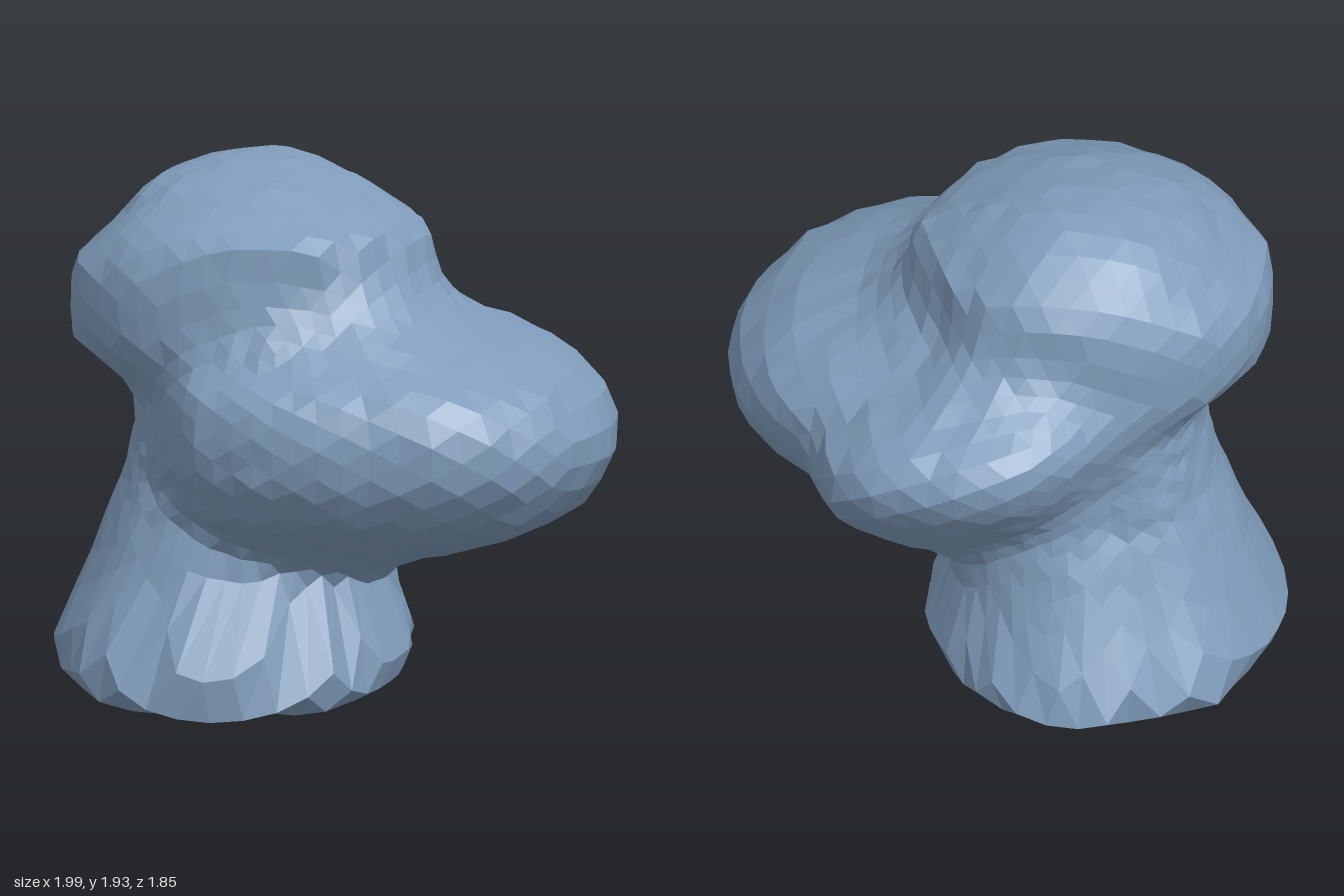
import * as THREE from 'three';
import { mergeVertices } from 'three/addons/utils/BufferGeometryUtils.js';

// Each part is a stack of level sections [y, xMin, xMax, zMin, zMax] and a plan,
// given as radii at even angles starting at +x and turning towards +z

// Flared foot and narrow neck
const foot = {
  radii: [1, 1.03, 1.05, 1.02, 1, 1.06, 1.1, 1.04, 1, 0.98, 1.02, 0.92, 1, 1.01, 1, 1],
  rings: [
    [0, -0.89, 0.17, -0.8, 0.57],
    [0.06, -0.97, 0.24, -0.85, 0.59],
    [0.16, -1.0, 0.27, -0.83, 0.58],
    [0.28, -0.96, 0.24, -0.77, 0.5],
    [0.42, -0.9, 0.18, -0.71, 0.42],
    [0.57, -0.84, 0.18, -0.64, 0.39],
    [0.77, -0.76, 0.2, -0.57, 0.36],
    [0.97, -0.71, 0.22, -0.55, 0.34],
    [1.15, -0.71, 0.24, -0.53, 0.4],
  ],
};

// Overhanging dome
const dome = {
  radii: [0.99, 0.95, 0.96, 1.02, 1, 1.03, 1.05, 1.03, 1, 1, 1.02, 1, 0.99, 1, 0.94, 0.93],
  rings: [
    [1.05, -0.68, 0.2, -0.5, 0.38],
    [1.13, -0.74, 0.27, -0.53, 0.46],
    [1.19, -0.8, 0.3, -0.55, 0.53],
    [1.29, -0.92, 0.34, -0.56, 0.57],
    [1.46, -0.94, 0.36, -0.57, 0.58],
    [1.57, -0.92, 0.36, -0.57, 0.58],
    [1.69, -0.79, 0.34, -0.56, 0.57],
    [1.78, -0.7, 0.19, -0.48, 0.41],
    [1.85, -0.61, 0.06, -0.4, 0.26],
    [1.9, -0.46, -0.06, -0.31, 0.06],
    [1.925, -0.3, -0.15, -0.24, -0.11],
  ],
};

// Wide rounded lobe pushing out to the left, front and back
const lobe = {
  radii: [0.98, 1.04, 1.08, 1.06, 1, 1.06, 1.13, 1.05, 1, 0.97, 0.95, 1, 1.02, 1.01, 0.81, 0.91],
  rings: [
    [0.43, -0.2, 0.13, -0.22, 0.14],
    [0.5, -0.28, 0.26, -0.33, 0.3],
    [0.55, -0.34, 0.4, -0.4, 0.42],
    [0.58, -0.38, 0.56, -0.43, 0.49],
    [0.64, -0.44, 0.72, -0.49, 0.62],
    [0.73, -0.53, 0.88, -0.58, 0.8],
    [0.89, -0.61, 1.0, -0.75, 0.9],
    [1.05, -0.64, 1.01, -0.88, 0.91],
    [1.18, -0.64, 0.93, -0.93, 0.87],
    [1.29, -0.61, 0.75, -0.88, 0.71],
    [1.37, -0.58, 0.52, -0.72, 0.62],
    [1.48, -0.54, 0.37, -0.57, 0.53],
    [1.6, -0.48, 0.26, -0.47, 0.43],
    [1.68, -0.35, 0.1, -0.3, 0.25],
  ],
};

// Radius of a plan towards (u, v), eased between the listed angles
function planRadius(radii, u, v) {
  const n = radii.length;
  const turn = ((Math.atan2(v, u) / (Math.PI * 2) + 1) % 1) * n;
  const i = Math.floor(turn) % n;
  return THREE.MathUtils.lerp(radii[i], radii[(i + 1) % n], turn - Math.floor(turn));
}

// Rough distance from a part, negative inside
function distance({ rings, radii }, x, y, z) {
  const i = rings.findIndex((ring) => ring[0] > y);
  if (i < 1) return 1;
  const lower = rings[i - 1], upper = rings[i];
  const t = (y - lower[0]) / (upper[0] - lower[0]);
  const [, x0, x1, z0, z1] = lower.map((value, k) => THREE.MathUtils.lerp(value, upper[k], t));
  const a = (x1 - x0) / 2, b = (z1 - z0) / 2;
  const u = (x - (x0 + x1) / 2) / a, v = (z - (z0 + z1) / 2) / b;
  return (Math.hypot(u, v) / planRadius(radii, u, v) - 1) * ((a + b) / 2);
}

// Parts melted together; the sole slopes up towards the back
function body(x, y, z) {
  const rise = 0.09 * (0.58 - z);
  const level = y < 0.4 ? (y - rise) / (1 - rise / 0.4) : y;
  const trunk = Math.min(distance(foot, x, level, z), distance(dome, x, y, z));
  const side = distance(lobe, x, y, z);
  const blend = 0.12;
  const h = Math.max(blend - Math.abs(trunk - side), 0) / blend;
  return Math.min(trunk, side) - (h * h * blend) / 4;
}

// Small seeded noise for the uneven, hand-hewn facets
function makeNoise(seed) {
  let s = seed;
  return () => {
    s = (s * 16807) % 2147483647;
    return (s / 2147483647) * 2 - 1;
  };
}

// Faceted ball whose corners are drawn in along rays until they meet the body
function bodyGeometry() {
  const ball = new THREE.IcosahedronGeometry(1, 11);
  ball.deleteAttribute('normal');
  ball.deleteAttribute('uv');
  const geometry = mergeVertices(ball, 1e-4);
  const position = geometry.attributes.position;
  const centre = new THREE.Vector3(-0.18, 0.93, 0);
  const noise = makeNoise(29);
  const ray = new THREE.Vector3();
  for (let i = 0; i < position.count; i++) {
    ray.fromBufferAttribute(position, i).normalize();
    let r = 1.6;
    while (r > 0.1 && body(centre.x + ray.x * r, centre.y + ray.y * r, centre.z + ray.z * r) > 0) r -= 0.003;
    ray.multiplyScalar(r + noise() * 0.006).add(centre);
    position.setXYZ(i, ray.x, Math.max(ray.y, 0), ray.z);
  }
  geometry.computeVertexNormals();
  return geometry;
}

export function createModel() {
  const group = new THREE.Group();
  const stone = new THREE.MeshStandardMaterial({ color: 0x809cbb });
  stone.name = 'blueGreyStone';
  stone.flatShading = true;
  const mesh = new THREE.Mesh(bodyGeometry(), stone);
  mesh.name = 'lumpyBody';
  group.add(mesh);
  return group;
}
